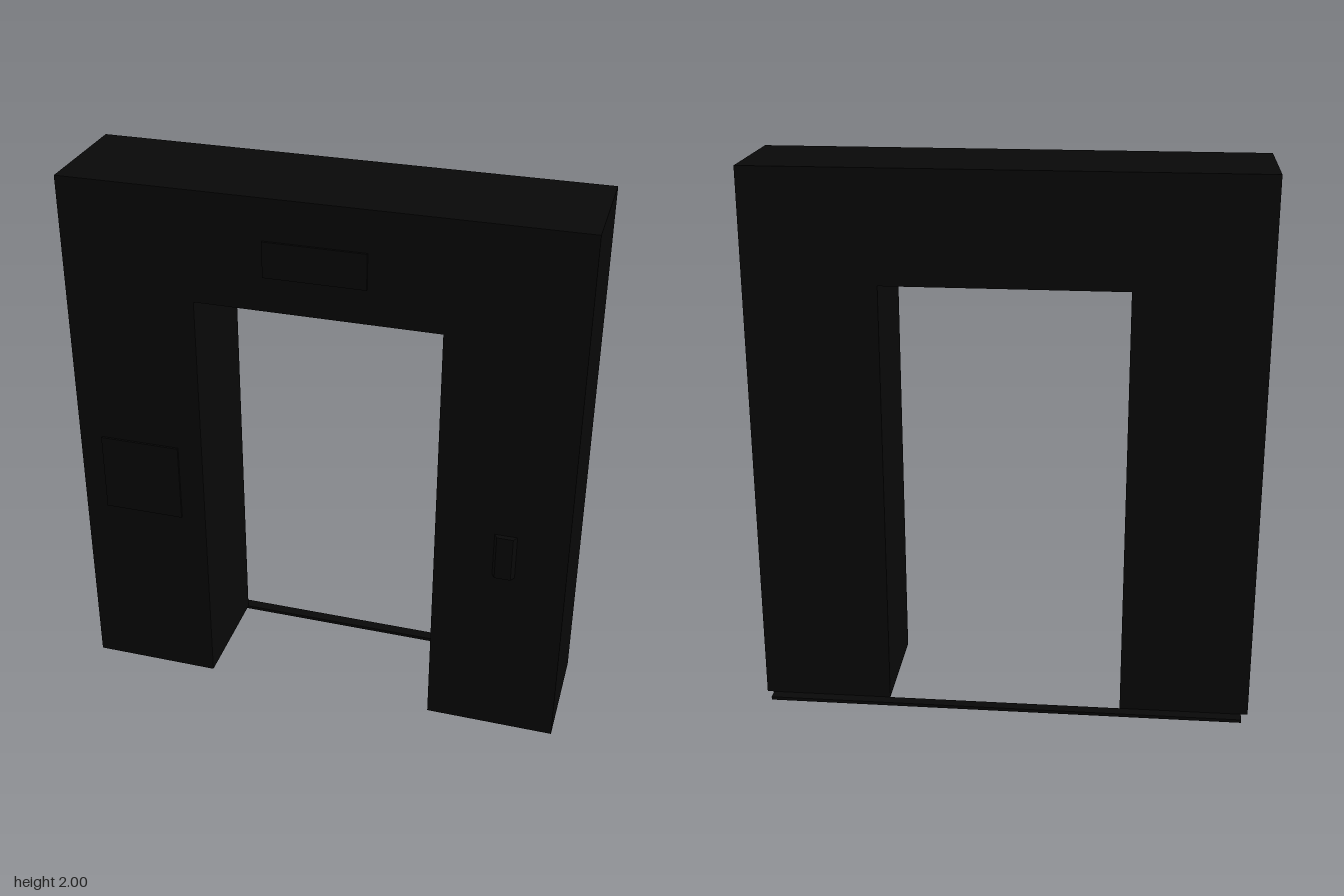
import * as THREE from 'three';

export function createModel() {
  const model = new THREE.Group();
  const black = new THREE.MeshStandardMaterial({ color: 0x080808 });
  black.name = 'black';

  const add = (name, geometry, x, y, z) => {
    const mesh = new THREE.Mesh(geometry, black);
    mesh.name = name;
    mesh.position.set(x, y, z);
    model.add(mesh);
    return mesh;
  };
  const box = (name, x0, x1, y0, y1, z0, z1) =>
    add(name, new THREE.BoxGeometry(x1 - x0, y1 - y0, z1 - z0),
      (x0 + x1) / 2, (y0 + y1) / 2, (z0 + z1) / 2);

  // Doorway: one solid portal outline with the passage left open
  const outline = new THREE.Shape([
    [-0.9, 0.012], [-0.43, 0.012], [-0.43, 1.6], [0.43, 1.6],
    [0.43, 0.012], [0.9, 0.012], [0.9, 2], [-0.9, 2],
  ].map(([x, y]) => new THREE.Vector2(x, y)));
  add('doorFrame', new THREE.ExtrudeGeometry(outline, { depth: 0.42, bevelEnabled: false }), 0, 0, -0.2);

  // Floor strip along the back
  box('threshold', -0.875, 0.875, 0, 0.012, -0.24, -0.2);

  // Notice plate on the right pillar
  box('wallPlate', -0.815, -0.52, 0.715, 1.01, 0.22, 0.228);

  // Three-part sign above the passage
  const joints = [-0.18, -0.055, 0.05, 0.175];
  for (let i = 0; i < 3; i++) {
    box('signPanel' + (i + 1), joints[i], joints[i + 1], 1.725, 1.852, 0.22, 0.228);
  }

  // Control pad with sloping sides on the left pillar
  const pad = new THREE.BoxGeometry(0.08, 0.17, 0.02).toNonIndexed();
  const p = pad.attributes.position;
  for (let i = 0; i < p.count; i++) {
    if (p.getZ(i) > 0) p.setX(i, p.getX(i) * 0.72);
  }
  pad.computeVertexNormals();
  add('controlPad', pad, 0.68, 0.775, 0.23);

  return model;
}
